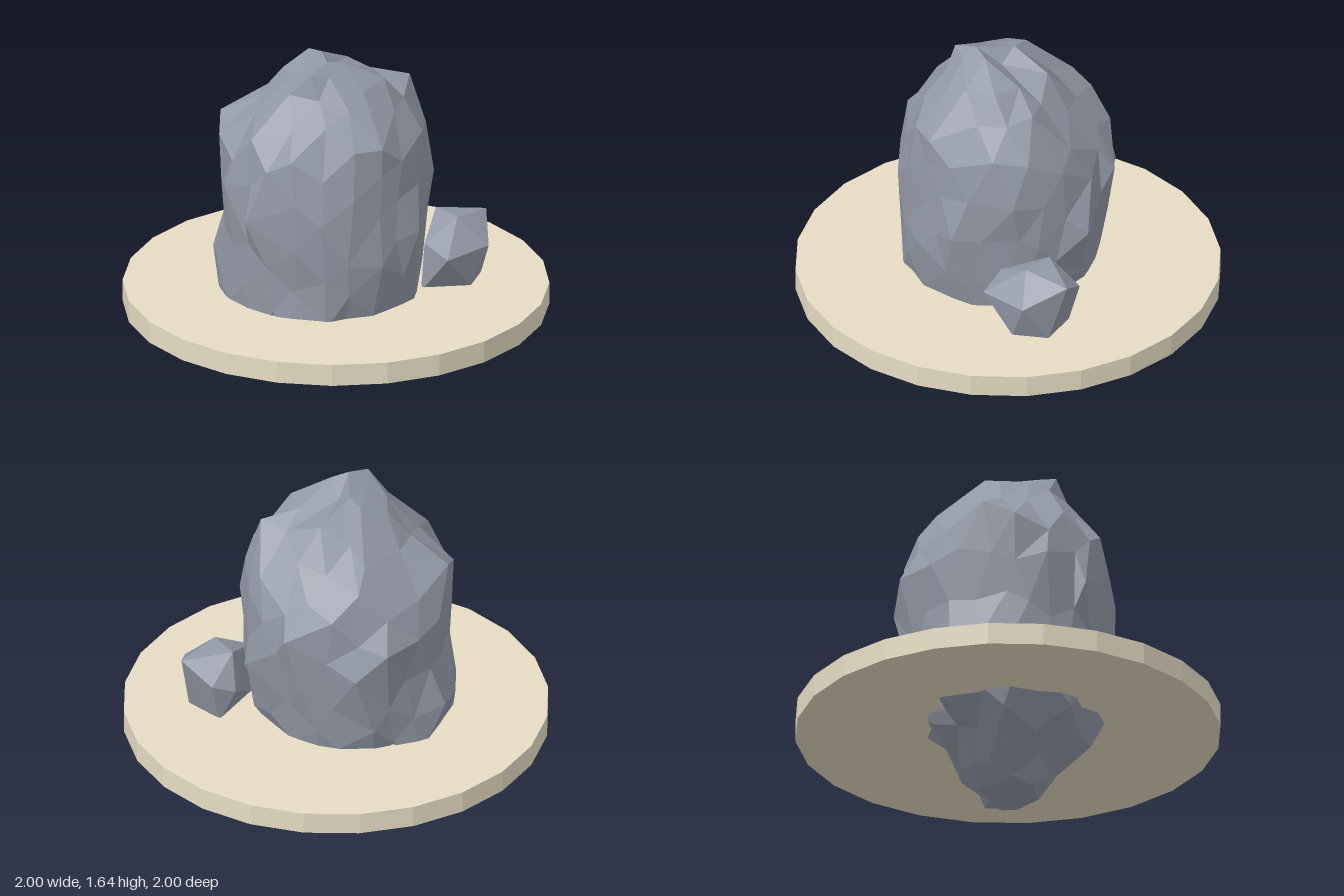
import * as THREE from 'three';
import { ConvexGeometry } from 'three/addons/geometries/ConvexGeometry.js';

// Boulder outline by height: y, xMin, xMax, zMin, zMax
const OUTLINE = [
  [0.00, 0.07, 0.07, -0.06, -0.06],
  [0.04, -0.16, 0.13, -0.14, 0.15],
  [0.10, -0.22, 0.20, -0.21, 0.19],
  [0.20, -0.30, 0.24, -0.24, 0.30],
  [0.28, -0.45, 0.28, -0.28, 0.44],
  [0.36, -0.51, 0.37, -0.35, 0.48],
  [0.47, -0.54, 0.42, -0.42, 0.50],
  [0.63, -0.57, 0.44, -0.45, 0.51],
  [0.85, -0.53, 0.46, -0.47, 0.52],
  [1.07, -0.55, 0.45, -0.50, 0.52],
  [1.28, -0.53, 0.42, -0.43, 0.50],
  [1.40, -0.38, 0.34, -0.31, 0.36],
  [1.50, -0.27, 0.29, -0.22, 0.31],
  [1.57, -0.18, 0.13, -0.12, 0.27],
  [1.62, -0.09, 0.05, -0.01, 0.22],
  [1.645, 0.00, 0.00, 0.15, 0.15],
];

// Prominent corners of the boulder: peaks, shoulders, flanks and underside
const KNOBS = [
  [0, 1.645, 0.15], [-0.15, 1.61, -0.06], [-0.05, 1.61, 0.26], [0, 1.56, 0.03],
  [0.24, 1.54, 0.02], [0.15, 1.54, -0.08], [0.31, 1.49, -0.17], [-0.26, 1.41, -0.26],
  [-0.54, 1.31, 0.08], [-0.3, 1.31, 0.39], [0.42, 1.28, 0], [0.24, 1.28, -0.34],
  [0.32, 1.3, 0.32], [-0.55, 1.08, -0.05], [-0.44, 1.05, 0.36], [-0.43, 1.03, -0.38],
  [0.04, 1.07, -0.515], [-0.05, 1.05, 0.52], [-0.3, 0.93, 0.5], [-0.3, 0.9, -0.46],
  [0.46, 0.85, 0.19], [0.28, 0.84, -0.43], [0.19, 0.75, 0.46], [-0.59, 0.63, -0.07],
  [-0.5, 0.37, -0.17], [0.25, 0.34, 0.24],
  [-0.46, 0.28, 0.15], [-0.3, 0.2, 0.25], [-0.02, 0.21, 0.42],
  [-0.18, 0.05, 0.08], [-0.09, 0.03, 0.15], [0.2, 0.09, -0.19],
].map((k) => new THREE.Vector3(...k));

function outlineAt(y) {
  let i = 0;
  while (i < OUTLINE.length - 2 && y > OUTLINE[i + 1][0]) i++;
  const a = OUTLINE[i], b = OUTLINE[i + 1];
  const t = THREE.MathUtils.clamp((y - a[0]) / (b[0] - a[0]), 0, 1);
  return a.map((v, k) => v + (b[k] - v) * t);
}

// Repeatable value from -1 to 1 for a point, so shared corners stay together
function jitter(p, seed) {
  const q = [p.x, p.y, p.z].map((v) => Math.round(v * 1000));
  const s = Math.sin(q[0] * 0.1271 + q[1] * 0.3117 + q[2] * 0.0747 + seed) * 43758.5453;
  return (s - Math.floor(s)) * 2 - 1;
}

// Faceted sphere fitted to the outline, roughened, then pulled out to the knobs
function boulderGeometry() {
  const geo = new THREE.IcosahedronGeometry(1, 3);
  const pos = geo.attributes.position;
  const points = [];
  for (let i = 0; i < pos.count; i++) {
    const p = new THREE.Vector3().fromBufferAttribute(pos, i);
    const rough = Math.abs(p.y) > 0.999 ? 0 : 1;
    const baseY = 0.8225 + 0.8225 * p.y;
    const [, x0, x1, z0, z1] = outlineAt(baseY);
    const angle = Math.atan2(p.z, p.x) + 0.06 * rough * jitter(p, 1);
    const r = 0.985 + 0.04 * rough * jitter(p, 2);
    points.push(new THREE.Vector3(
      (x0 + x1) / 2 + ((x1 - x0) / 2) * r * Math.cos(angle),
      THREE.MathUtils.clamp(baseY + 0.03 * rough * jitter(p, 3), 0, 1.645),
      (z0 + z1) / 2 + ((z1 - z0) / 2) * r * Math.sin(angle),
    ));
  }

  const moved = new Set();
  for (const knob of KNOBS) {
    let nearest = null;
    for (const p of points) {
      if (moved.has(p)) continue;
      if (!nearest || p.distanceTo(knob) < nearest.distanceTo(knob)) nearest = p;
    }
    const corner = nearest.clone();
    for (const p of points) {
      if (moved.has(p) || p.distanceTo(corner) > 0.002) continue;
      p.copy(knob);
      moved.add(p);
    }
  }

  pos.copyArray(points.flatMap((p) => p.toArray()));
  geo.computeVertexNormals();
  return geo;
}

export function createModel() {
  const model = new THREE.Group();
  model.name = 'rockOnDisc';

  const stone = new THREE.MeshStandardMaterial({ color: 0x9298a6, flatShading: true });
  stone.name = 'slate grey stone';
  const sand = new THREE.MeshStandardMaterial({ color: 0xe6dcc3, flatShading: true });
  sand.name = 'pale sand';

  const add = (name, geometry, material) => {
    const mesh = new THREE.Mesh(geometry, material);
    mesh.name = name;
    model.add(mesh);
    return mesh;
  };

  // Round ground plate, pierced by the boulder
  add('groundDisc', new THREE.CylinderGeometry(1, 1, 0.106, 24), sand).position.y = 0.412;

  // Large boulder
  add('boulder', boulderGeometry(), stone);

  // Small angular stone leaning on the boulder
  const corners = [
    [0.36, 0.62, -0.35], [0.45, 0.66, -0.42], [0.62, 0.75, -0.39],
    [0.69, 0.65, -0.19], [0.55, 0.64, 0.02], [0.42, 0.69, -0.04],
    [0.41, 0.78, -0.27], [0.54, 0.78, -0.18], [0.62, 0.46, -0.3],
    [0.62, 0.46, -0.13], [0.44, 0.44, -0.36], [0.4, 0.44, -0.05],
  ].map((c) => new THREE.Vector3(...c));
  add('smallStone', new ConvexGeometry(corners), stone);

  return model;
}
